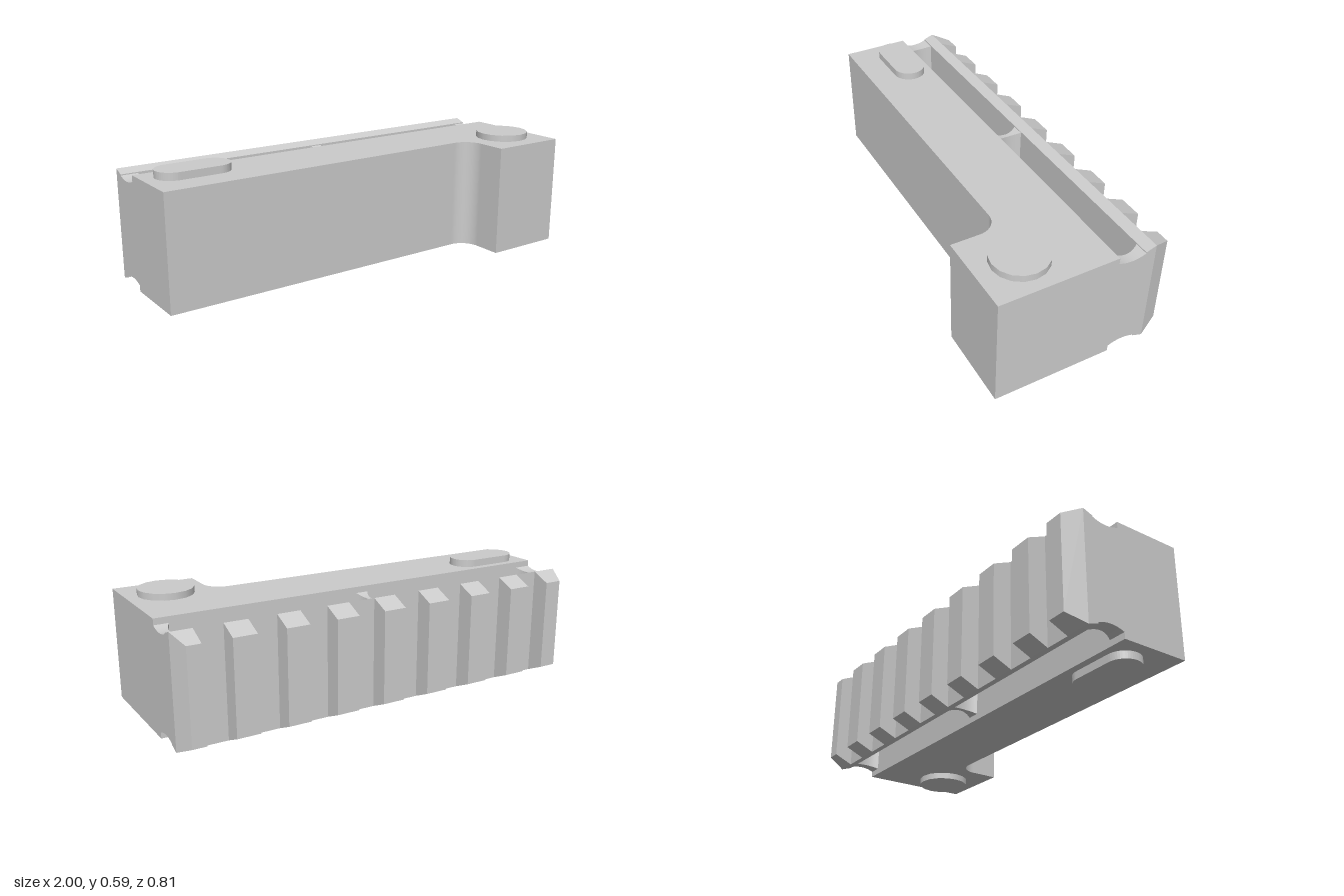
import * as THREE from 'three';

const MID = 0.297; // height of the horizontal symmetry plane
const mat = new THREE.MeshStandardMaterial({ color: 0xcccccc });

function add(group, name, geometry) {
  const mesh = new THREE.Mesh(geometry, mat);
  mesh.name = name;
  group.add(mesh);
}

// Extrudes a plan outline (x, -z) upward, centred on MID
function plan(shape, height, curveSegments = 12) {
  const g = new THREE.ExtrudeGeometry(shape, { depth: height, bevelEnabled: false, curveSegments });
  return g.rotateX(-Math.PI / 2).translate(0, MID - height / 2, 0);
}

// Box swept along z whose section is set by rule(t) -> [x0, x1, halfHeight], t = 0 at z0
function swept(z0, z1, steps, rule) {
  const g = new THREE.BoxGeometry(1, 1, 1, 1, 1, steps);
  const p = g.attributes.position;
  for (let i = 0; i < p.count; i++) {
    const t = 0.5 - p.getZ(i);
    const [x0, x1, h] = rule(t);
    p.setXYZ(i, p.getX(i) < 0 ? x0 : x1, MID + (p.getY(i) < 0 ? -h : h), z0 + (z1 - z0) * t);
  }
  g.computeVertexNormals();
  return g;
}

export function createModel() {
  const group = new THREE.Group();

  // L-shaped body with a filleted inner corner
  const body = new THREE.Shape();
  body.moveTo(-1, 0.14);
  body.lineTo(-1, -0.18);
  body.lineTo(0.53, -0.18);
  body.absarc(0.53, -0.27, 0.09, Math.PI / 2, 0, true);
  body.lineTo(0.62, -0.405);
  body.lineTo(1, -0.405);
  body.lineTo(1, 0.14);
  body.closePath();
  add(group, 'body', plan(body, 0.525));

  // Oval pad, passing through the body to show above and below
  const r = 0.078;
  const oval = new THREE.Shape();
  oval.absarc(-0.867, 0.027, r, Math.PI / 2, Math.PI * 1.5, false);
  oval.absarc(-0.678, 0.027, r, -Math.PI / 2, Math.PI / 2, false);
  oval.closePath();
  add(group, 'ovalPad', plan(oval, 0.594));

  // Round pad
  const round = new THREE.CylinderGeometry(0.126, 0.126, 0.586, 16);
  add(group, 'roundPad', round.translate(0.82, MID, 0.206));

  // Pinched webs joining body and rail, with open slots between them
  const webs = [[-1, -0.918, 0, 1], [-0.018, 0.043, 1, 1], [0.935, 1, 1, 0]];
  for (const [x0, x1, pinchLeft, pinchRight] of webs) {
    add(group, 'web', swept(-0.14, -0.272, 12, (t) => {
      const bow = 1 - (2 * t - 1) ** 2;
      return [x0 + 0.02 * bow * pinchLeft, x1 - 0.02 * bow * pinchRight, 0.234 - 0.014 * bow];
    }));
  }

  // Rail strip, widening towards the teeth
  add(group, 'rail', swept(-0.27, -0.318, 1, (t) => [-1, 1, 0.238 + 0.017 * t]));

  // Teeth, bevelled above and below; the end teeth also slope on their outer sides
  const pitch = 0.2375;
  for (let i = -4; i <= 4; i++) {
    const c = 0.005 + i * pitch;
    add(group, 'tooth', swept(-0.318, -0.405, 1, (t) => [
      i === -4 ? -1 + 0.035 * t : c - 0.054,
      i === 4 ? 1 - 0.035 * t : i === -4 ? -0.88 : c + 0.054,
      0.255 - 0.039 * t,
    ]));
  }
  return group;
}
